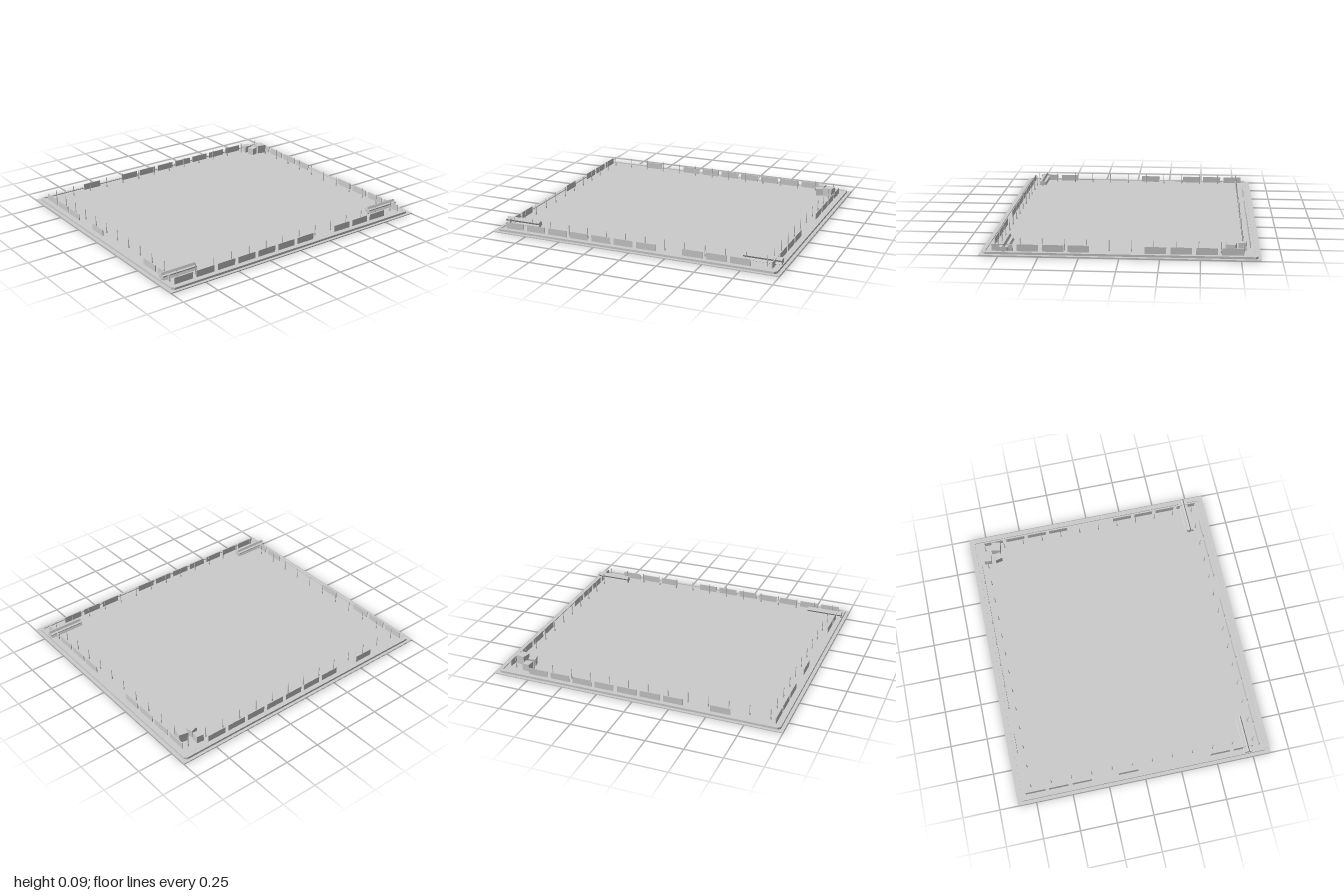
import * as THREE from 'three';

const grey = new THREE.MeshStandardMaterial({ color: 0xcccccc });
grey.name = 'plain grey';

const FLOOR = 0.014;

function add(parent, name, geometry, x = 0, y = 0, z = 0, turn = 0) {
  const mesh = new THREE.Mesh(geometry, grey);
  mesh.name = name;
  mesh.position.set(x, y, z);
  mesh.rotation.y = turn;
  parent.add(mesh);
  return mesh;
}

// Rectangle outline with clipped corners
function clippedRect(target, w, d, c) {
  const pts = [
    [-w + c, -d], [w - c, -d], [w, -d + c], [w, d - c],
    [w - c, d], [-w + c, d], [-w, d - c], [-w, -d + c],
  ];
  target.setFromPoints(pts.map(([x, y]) => new THREE.Vector2(x, y)));
  return target;
}

export function createModel() {
  const model = new THREE.Group();
  model.name = 'arena';

  // Ground slab and inner floor
  add(model, 'groundSlab', new THREE.BoxGeometry(2, 0.006, 1.75), 0, 0.003, 0);
  add(model, 'floor', new THREE.BoxGeometry(1.94, FLOOR - 0.006, 1.69), 0, (FLOOR + 0.006) / 2, 0);

  // Kerb around the floor
  const kerbShape = clippedRect(new THREE.Shape(), 0.977, 0.855, 0.016);
  kerbShape.holes.push(clippedRect(new THREE.Path(), 0.96, 0.838, 0.01));
  const kerb = new THREE.ExtrudeGeometry(kerbShape, { depth: 0.016, bevelEnabled: false });
  kerb.rotateX(-Math.PI / 2);
  add(model, 'kerb', kerb, 0, 0.004, 0);

  // Low wall panels, with some slots left open
  const walls = new THREE.Group();
  walls.name = 'wallPanels';
  model.add(walls);
  const pitch = 0.1595;
  const panel = new THREE.BoxGeometry(0.134, 0.058 - FLOOR, 0.005);
  const panelY = (0.058 + FLOOR) / 2;
  for (const i of [0, 1, 2, 3, 4, 5, 6, 8, 9, 10])
    add(walls, 'frontPanel', panel, -0.866 + pitch * i, panelY, 0.806);
  for (const i of [0, 1, 2, 3, 4, 5, 6, 8])
    add(walls, 'backPanel', panel, 0.7 - pitch * i, panelY, -0.814);
  for (const i of [0, 1, 2, 4, 8, 9])
    add(walls, 'rightPanel', panel, -0.935, panelY, -0.743 + pitch * i, Math.PI / 2);
  for (const i of [0, 1, 2, 3, 6, 7, 8, 9])
    add(walls, 'leftPanel', panel, 0.93, panelY, -0.7 + pitch * i, Math.PI / 2);

  // Thin posts with a thicker foot, in a ring inside the walls
  const posts = new THREE.Group();
  posts.name = 'posts';
  model.add(posts);
  const postShape = new THREE.LatheGeometry(
    [[0.005, 0], [0.005, 0.014], [0.0025, 0.016], [0.0025, 0.072], [0, 0.072]]
      .map(([r, y]) => new THREE.Vector2(r, y)), 6);
  const nx = 13, nz = 11;
  for (const side of [-1, 1]) {
    for (let i = 0; i <= nx; i++)
      add(posts, 'post', postShape, -0.89 + 1.78 * i / nx, FLOOR, 0.768 * side);
    for (let i = 1; i < nz; i++)
      add(posts, 'post', postShape, 0.89 * side, FLOOR, -0.768 + 1.536 * i / nz);
  }

  // Star-section rollers at the two front corners
  const star = new THREE.Shape();
  for (let i = 0; i < 12; i++) {
    const a = Math.PI / 2 + i * Math.PI / 6;
    const r = i % 2 ? 0.55 : 1;
    const x = 0.032 * r * Math.cos(a), y = 0.027 * r * Math.sin(a);
    if (i) star.lineTo(x, y); else star.moveTo(x, y);
  }
  const roller = new THREE.ExtrudeGeometry(star, { depth: 0.25, bevelEnabled: false });
  roller.translate(0, 0, -0.125);
  roller.rotateY(Math.PI / 2);
  for (const side of [-1, 1])
    add(model, side > 0 ? 'leftRoller' : 'rightRoller', roller, 0.848 * side, 0.04, 0.72);

  // Crates stacked loosely in the back left corner
  for (const [size, x, z, turn] of [
    [0.05, 0.806, -0.762, -0.1], [0.05, 0.806, -0.69, 0.25], [0.062, 0.88, -0.69, -0.2],
  ]) add(model, 'crate', new THREE.BoxGeometry(size, size, size), x, FLOOR + size / 2, z, turn);

  return model;
}
